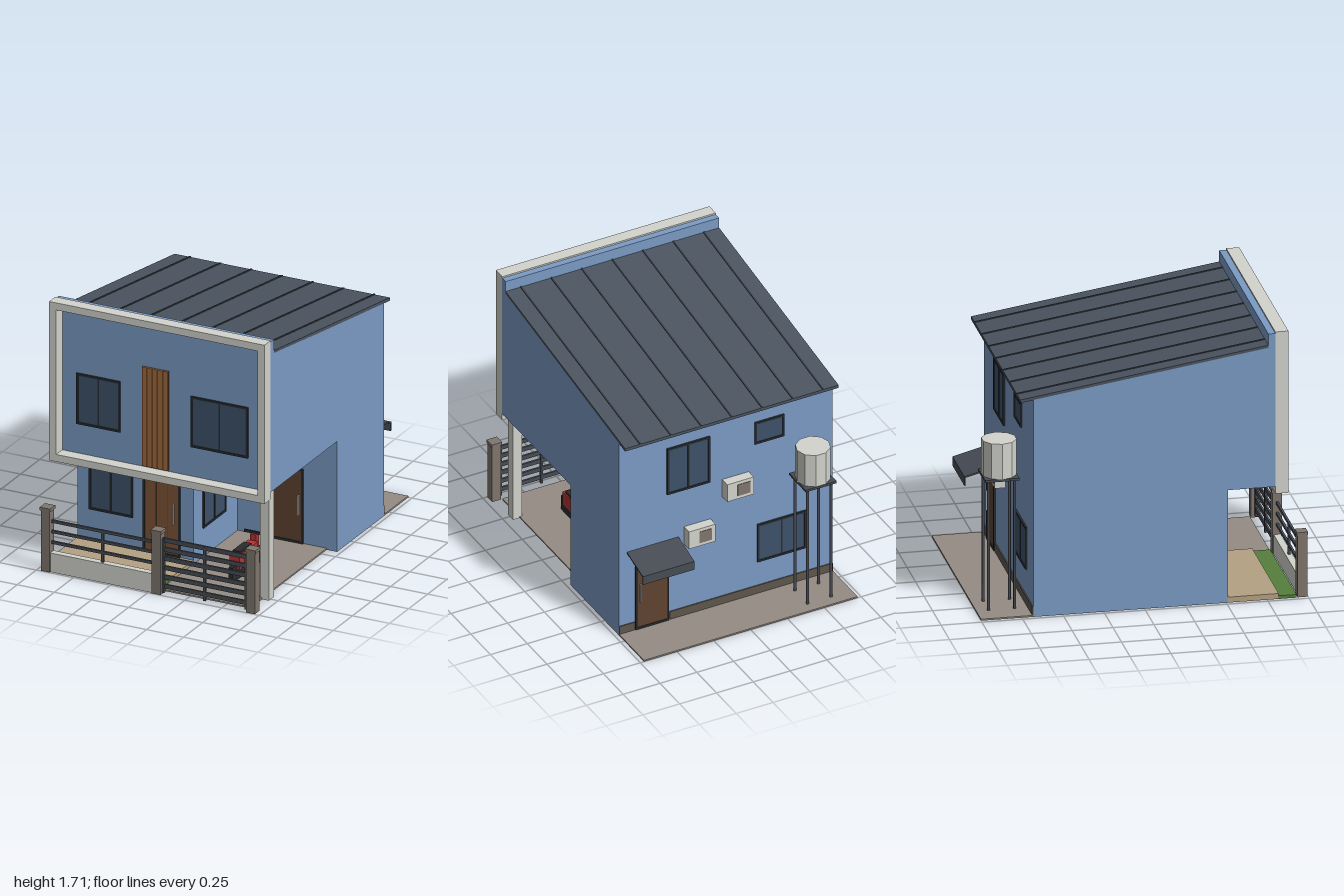
import * as THREE from 'three';

const C = {
  wall: 0x7b9bc4, trim: 0xd4d4ce, roof: 0x4b545f, seam: 0x3a414a, frame: 0x2a2e33, glass: 0x3d526b,
  slat: 0xa26b3d, door: 0x7d5438, darkDoor: 0x5f4330, post: 0x80766d, steel: 0x474c54, lawn: 0x55803c,
  drive: 0x958d84, tile: 0xb5a183, plinth: 0x5f564c, red: 0xb03634, black: 0x2b2c2e, handle: 0xc8c8c8,
};
const mats = {};
const mat = (c) => (mats[c] ??= new THREE.MeshStandardMaterial({ color: C[c] }));

function add(parent, name, geo, color) {
  const m = new THREE.Mesh(geo, mat(color));
  m.name = name;
  parent.add(m);
  return m;
}

// Box given by its min and max along each axis
function box(parent, name, color, x0, x1, y0, y1, z0, z1) {
  const m = add(parent, name, new THREE.BoxGeometry(x1 - x0, y1 - y0, z1 - z0), color);
  m.position.set((x0 + x1) / 2, (y0 + y1) / 2, (z0 + z1) / 2);
  return m;
}

// Rectangular ring, front at z = depth
function ring(w, h, t, depth) {
  const rect = (s, a, b) => s.moveTo(-a, -b).lineTo(a, -b).lineTo(a, b).lineTo(-a, b).closePath();
  const s = rect(new THREE.Shape(), w / 2, h / 2);
  s.holes.push(rect(new THREE.Path(), w / 2 - t, h / 2 - t));
  return new THREE.ExtrudeGeometry(s, { depth, bevelEnabled: false });
}

// Side profile (z, y) extruded across x0..x1
function sideExtrude(points, x0, x1) {
  const s = new THREE.Shape(points.map(([z, y]) => new THREE.Vector2(z, y)));
  return new THREE.ExtrudeGeometry(s, { depth: x1 - x0, bevelEnabled: false })
    .rotateY(-Math.PI / 2).translate(x1, 0, 0);
}

// Window or door group, facing its local +z
function opening(parent, name, w, h, x, y, z, turn) {
  const g = new THREE.Group();
  g.name = name;
  g.position.set(x, y, z);
  g.rotation.y = turn;
  parent.add(g);
  add(g, name + 'Frame', ring(w, h, 0.013, 0.012), 'frame');
  return g;
}

function windowUnit(parent, name, w, h, x, y, z, turn = 0, mullion = true) {
  const g = opening(parent, name, w, h, x, y, z, turn);
  box(g, 'glass', 'glass', -w / 2 + 0.01, w / 2 - 0.01, -h / 2 + 0.01, h / 2 - 0.01, 0, 0.006);
  if (mullion) box(g, 'mullion', 'frame', -0.005, 0.005, -h / 2 + 0.01, h / 2 - 0.01, 0, 0.01);
}

function doorUnit(parent, name, w, h, x, y0, z, turn, color, handleX, panels = 1) {
  const g = opening(parent, name, w, h, x, y0 + h / 2, z, turn);
  const iw = w - 0.024;
  box(g, 'doorLeaf', color, -iw / 2, iw / 2, -h / 2, h / 2 - 0.012, 0, 0.007);
  for (let i = 1; i < panels; i++) {
    const gx = -iw / 2 + (iw * i) / panels;
    box(g, 'doorGroove', 'darkDoor', gx - 0.002, gx + 0.002, -h / 2, h / 2 - 0.012, 0, 0.008);
  }
  box(g, 'doorHandle', 'handle', handleX - 0.004, handleX + 0.004, -0.06, 0.07, 0.007, 0.02);
}

export function createModel() {
  const root = new THREE.Group();
  root.name = 'house';

  // Ground surfaces
  box(root, 'backSlab', 'drive', -0.725, 0.725, 0, 0.01, -1, -0.68);
  box(root, 'driveway', 'drive', 0.055, 0.655, 0, 0.01, -0.07, 0.93);
  box(root, 'porchFloor', 'tile', -0.725, 0.055, 0, 0.035, 0.51, 0.82);
  box(root, 'lawn', 'lawn', -0.725, 0.055, 0, 0.02, 0.82, 0.93);

  // Walls: L-shaped lower floor, overhanging upper floor with sloped top and parapet
  box(root, 'lowerWallsMain', 'wall', -0.725, 0.055, 0, 0.72, -0.68, 0.51);
  box(root, 'lowerWallsRear', 'wall', 0.055, 0.725, 0, 0.72, -0.68, -0.07);
  add(root, 'upperWalls', sideExtrude(
    [[-0.68, 0.72], [0.8, 0.72], [0.8, 1.7], [0.757, 1.7], [0.757, 1.612], [-0.68, 1.388]], -0.725, 0.725), 'wall');
  box(root, 'plinthRight', 'plinth', -0.725, 0.38, 0.01, 0.065, -0.687, -0.68);
  box(root, 'plinthLeft', 'plinth', 0.62, 0.725, 0.01, 0.065, -0.687, -0.68);
  box(root, 'carportColumn', 'trim', 0.64, 0.7, 0, 0.72, 0.71, 0.775);

  // Facade surround
  add(root, 'facadeFrame', ring(1.45, 1.035, 0.047, 0.08), 'trim').position.set(0, 1.1925, 0.8);

  // Sloped roof with standing seams
  const roofY = (z) => 1.618 + (z - 0.76) * (0.235 / 1.52);
  const slab = (t0, t1) => [[-0.76, roofY(-0.76) + t0], [0.757, roofY(0.757) + t0],
    [0.757, roofY(0.757) + t1], [-0.76, roofY(-0.76) + t1]];
  add(root, 'roof', sideExtrude(slab(-0.009, 0.011), -0.725, 0.725), 'roof');
  for (let i = -3; i <= 3; i++) {
    add(root, 'roofSeam', sideExtrude(slab(0.01, 0.016), i * 0.207 - 0.005, i * 0.207 + 0.005), 'seam');
  }

  // Front openings and timber slats
  windowUnit(root, 'upperWindowRight', 0.295, 0.33, -0.432, 1.08, 0.8);
  windowUnit(root, 'upperWindowLeft', 0.385, 0.33, 0.383, 1.08, 0.8);
  windowUnit(root, 'porchWindow', 0.295, 0.33, -0.498, 0.4, 0.51);
  doorUnit(root, 'frontDoor', 0.25, 0.54, -0.155, 0.035, 0.51, 0, 'door', 0.08, 3);
  box(root, 'slatBacking', 'darkDoor', -0.135, 0.04, 0.73, 1.375, 0.8, 0.806);
  for (let i = 0; i < 5; i++) {
    const x = -0.135 + i * 0.035;
    box(root, 'timberSlat', 'slat', x + 0.0015, x + 0.0335, 0.73, 1.375, 0.8, 0.815);
  }

  // Carport openings
  windowUnit(root, 'carportWindow', 0.295, 0.33, 0.055, 0.365, 0.245, Math.PI / 2);
  doorUnit(root, 'carportDoor', 0.22, 0.485, 0.39, 0.01, -0.07, 0, 'darkDoor', 0.08);

  // Rear openings
  windowUnit(root, 'rearUpperWindow', 0.29, 0.33, 0.255, 1.08, -0.68, Math.PI);
  windowUnit(root, 'rearSmallWindow', 0.2, 0.155, -0.295, 1.168, -0.68, Math.PI, false);
  windowUnit(root, 'rearLowerWindow', 0.33, 0.27, -0.377, 0.37, -0.68, Math.PI);
  doorUnit(root, 'rearDoor', 0.225, 0.5, 0.502, 0.01, -0.68, Math.PI, 'darkDoor', -0.08);

  // Awning over the rear door
  add(root, 'awning', sideExtrude([[-0.68, 0.573], [-0.68, 0.583], [-0.885, 0.527], [-0.885, 0.468],
    [-0.877, 0.468], [-0.877, 0.519]], 0.32, 0.67), 'steel');

  // Air-conditioning units
  for (const [x, y] of [[0.193, 0.582], [-0.067, 0.84]]) {
    box(root, 'airConditioner', 'trim', x - 0.09, x + 0.09, y - 0.062, y + 0.062, -0.745, -0.68);
    box(root, 'airConditionerGrille', 'post', x - 0.065, x + 0.02, y - 0.04, y + 0.04, -0.748, -0.745);
  }

  // Water tank on a stand
  const tank = new THREE.Group();
  tank.name = 'waterTower';
  tank.position.set(-0.505, 0, -0.845);
  root.add(tank);
  const tankGeo = new THREE.CylinderGeometry(0.107, 0.107, 0.225, 10).rotateY(Math.PI / 2).toNonIndexed();
  tankGeo.computeVertexNormals();
  add(tank, 'tank', tankGeo, 'trim').position.y = 0.9625;
  box(tank, 'tankPlatform', 'steel', -0.105, 0.105, 0.835, 0.85, -0.105, 0.105);
  for (const sx of [-1, 1]) for (const sz of [-1, 1]) {
    add(tank, 'tankLeg', new THREE.CylinderGeometry(0.009, 0.009, 0.835, 8), 'steel')
      .position.set(sx * 0.08, 0.4175, sz * 0.08);
  }

  // Front fence: capped posts, low wall with rails, slatted gate
  for (const x of [-0.692, 0.055, 0.69]) {
    box(root, 'fencePost', 'post', x - 0.03, x + 0.03, 0, 0.4, 0.937, 0.996);
    box(root, 'postCap', 'post', x - 0.035, x + 0.035, 0.395, 0.415, 0.932, 1);
  }
  box(root, 'fenceWall', 'trim', -0.662, 0.025, 0, 0.125, 0.945, 0.988);
  for (const y of [0.188, 0.258, 0.325]) {
    box(root, 'fenceRail', 'steel', -0.662, 0.025, y - 0.009, y + 0.009, 0.96, 0.974);
  }
  box(root, 'fenceUpright', 'steel', -0.326, -0.312, 0.125, 0.335, 0.96, 0.974);
  for (let i = 0; i < 6; i++) {
    const y = 0.052 + i * 0.06;
    box(root, 'gateSlat', 'steel', 0.088, 0.655, y - 0.014, y + 0.014, 0.963, 0.975);
  }
  for (const x of [0.093, 0.37, 0.648]) {
    box(root, 'gateUpright', 'steel', x - 0.007, x + 0.007, 0.01, 0.36, 0.96, 0.978);
  }

  // Parked motorbike
  const bike = new THREE.Group();
  bike.name = 'motorbike';
  bike.position.x = 0.385;
  root.add(bike);
  box(bike, 'bikeWheels', 'black', -0.013, 0.013, 0, 0.11, 0.28, 0.665);
  box(bike, 'bikeBody', 'red', -0.033, 0.033, 0.08, 0.175, 0.37, 0.61);
  box(bike, 'bikeSeat', 'black', -0.026, 0.026, 0.175, 0.19, 0.44, 0.585);
  box(bike, 'bikeFork', 'red', -0.02, 0.02, 0.11, 0.215, 0.333, 0.37);
  box(bike, 'bikeHandlebar', 'black', -0.07, 0.07, 0.213, 0.228, 0.339, 0.354);

  return root;
}
